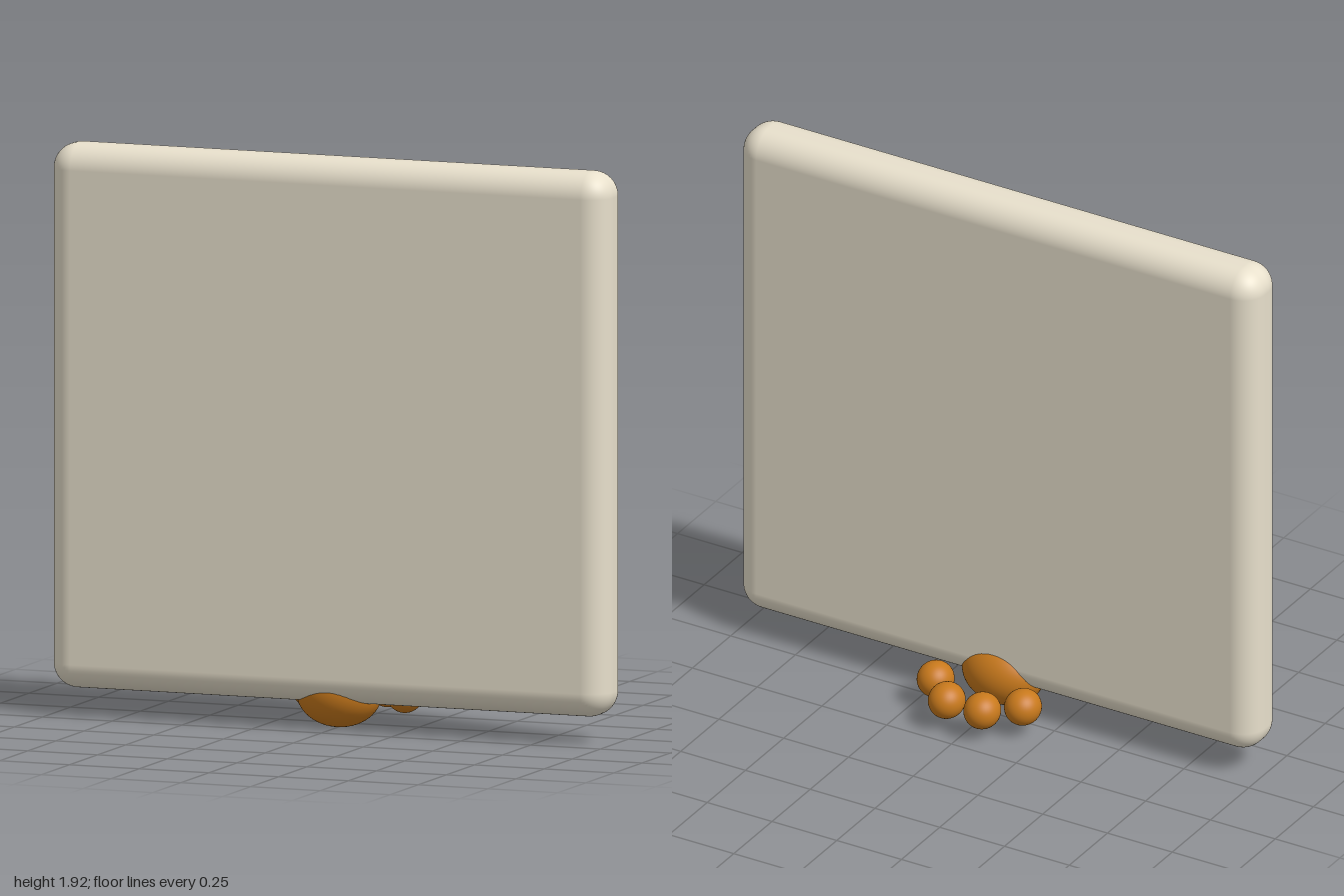
import * as THREE from 'three';
import { RoundedBoxGeometry } from 'three/addons/geometries/RoundedBoxGeometry.js';

export function createModel() {
  const model = new THREE.Group();
  const cream = new THREE.MeshStandardMaterial({ color: 0xe8e0cc });
  const orange = new THREE.MeshStandardMaterial({ color: 0xc8791c });

  // Upright slab with soft edges
  const slab = new THREE.Mesh(new RoundedBoxGeometry(2, 1.83, 0.195, 8, 0.085), cream);
  slab.name = 'slab';
  slab.position.set(0, 1.005, 0.12);
  model.add(slab);

  // Paw print under the slab, its toes pointing backwards
  const paw = new THREE.Group();
  paw.name = 'paw';
  model.add(paw);

  const ball = new THREE.SphereGeometry(1, 40, 28);
  const addPad = (name, position, radii) => {
    const pad = new THREE.Mesh(ball, orange);
    pad.name = name;
    pad.position.set(...position);
    pad.scale.set(...radii);
    paw.add(pad);
  };

  addPad('mainPad', [0, 0.115, 0.092], [0.147, 0.115, 0.113]);

  // Toes in an arc, as [x, z]
  const toes = [[-0.167, -0.065], [-0.063, -0.155], [0.074, -0.155], [0.179, -0.05]];
  toes.forEach(([x, z], i) => addPad(`toe${i + 1}`, [x, 0.1, z], [0.062, 0.062, 0.066]));

  return model;
}
